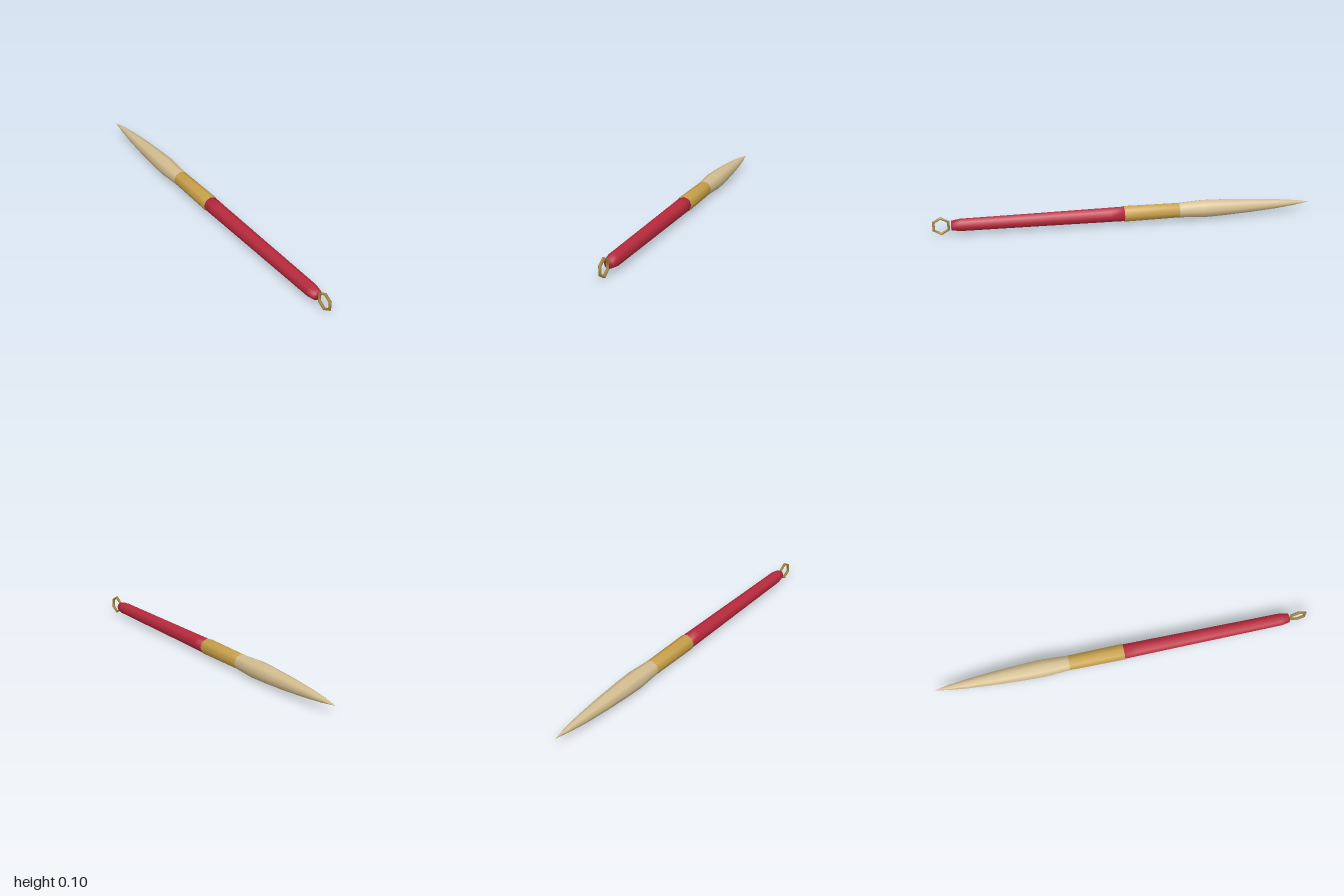
import * as THREE from 'three';

const SIDES = 8;
const AXIS_Y = 0.051;

const mat = (name, color) => {
  const m = new THREE.MeshStandardMaterial({ color });
  m.name = name;
  return m;
};

// Eight-sided turned part lying along z; profile is [radius, z] from back to front
function turned(name, profile, material) {
  const points = profile.map(([r, z]) => new THREE.Vector2(r, z));
  const geometry = new THREE.LatheGeometry(points, SIDES);
  geometry.rotateX(Math.PI / 2);
  const mesh = new THREE.Mesh(geometry, material);
  mesh.name = name;
  mesh.position.y = AXIS_Y;
  return mesh;
}

export function createModel() {
  const red = mat('red lacquer', 0xb92a3d);
  const gold = mat('gold', 0xc8a049);
  const brass = mat('dull brass', 0xa88a42);
  const hair = mat('pale hair', 0xd4be90);

  const group = new THREE.Group();
  group.name = 'paintbrush';

  // Tapered handle with a chamfered front end
  group.add(turned('handle', [
    [0, 0], [0.041, 0], [0.04, 0.08], [0.037, 0.45],
    [0.034, 0.86], [0.026, 0.905], [0, 0.905],
  ], red));

  // Metal sleeve between handle and bristles
  group.add(turned('ferrule', [
    [0, -0.29], [0.041, -0.29], [0.044, 0.008], [0, 0.008],
  ], gold));

  // Bristles swell, then narrow to a point
  group.add(turned('bristles', [
    [0, -1], [0.014, -0.92], [0.026, -0.82], [0.038, -0.67],
    [0.046, -0.52], [0.049, -0.42], [0.041, -0.285],
  ], hair));

  // Hexagonal hanging ring, upright with a corner at the top
  const ringGeometry = new THREE.TorusGeometry(0.0435, 0.0075, 6, 6);
  ringGeometry.rotateZ(Math.PI / 2);
  ringGeometry.rotateY(Math.PI / 2);
  const ring = new THREE.Mesh(ringGeometry, brass);
  ring.name = 'hangingRing';
  ring.position.set(0, AXIS_Y, 0.956);
  group.add(ring);

  return group;
}
